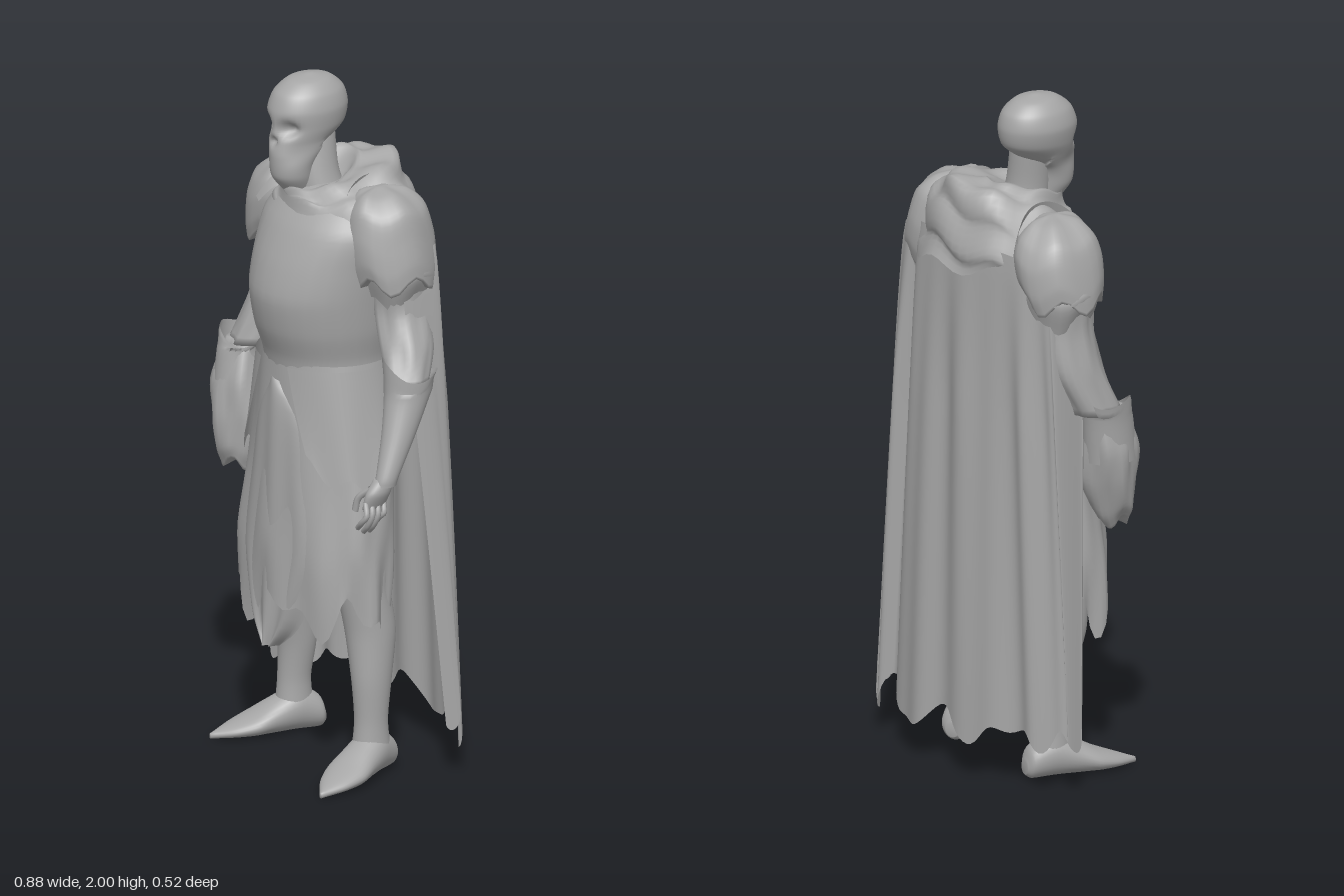
import * as THREE from 'three';

const clothGrey = new THREE.MeshStandardMaterial({ color: 0xa6a6a6, side: THREE.DoubleSide });
clothGrey.name = 'stone grey';
const { sin, cos, abs, PI } = Math;
const { lerp, smoothstep } = THREE.MathUtils;
const bump = (x, centre, width) => Math.exp(-(((x - centre) / width) ** 2));

function mesh(name, geometry, parent) {
  const m = new THREE.Mesh(geometry, clothGrey);
  m.name = name;
  parent.add(m);
  return m;
}

function buildGeometry(positions, indices) {
  const g = new THREE.BufferGeometry();
  g.setAttribute('position', new THREE.Float32BufferAttribute(positions, 3));
  g.setIndex(indices);
  g.computeVertexNormals();
  return g;
}

// Smooth skin over elliptical rings [x, y, z, rx, rz, tilt]; angle 0 faces the front.
function loft(rings, { open = false, segs = 28, steps = 5, warp } = {}) {
  if (rings[0][1] > rings.at(-1)[1]) rings = [...rings].reverse();
  const curve = pts => new THREE.CatmullRomCurve3(pts, false, 'catmullrom', 0.4);
  const centre = curve(rings.map(r => new THREE.Vector3(r[0], r[1], r[2])));
  const size = curve(rings.map(r => new THREE.Vector3(r[3], r[4], r[5] || 0)));
  const rows = (rings.length - 1) * steps, pos = [], idx = [];
  for (let i = 0; i <= rows; i++) {
    const t = i / rows, c = centre.getPoint(t), s = size.getPoint(t);
    for (let j = 0; j < segs; j++) {
      const a = j / segs * 2 * PI;
      const p = new THREE.Vector3(s.x * sin(a), -s.z * s.y * cos(a), s.y * cos(a));
      p.add(c);
      if (warp) warp(p, a, t, c);
      pos.push(p.x, p.y, p.z);
      if (i < rows) {
        const k = i * segs, n = (j + 1) % segs;
        idx.push(k + j, k + n, k + segs + n, k + j, k + segs + n, k + segs + j);
      }
    }
  }
  if (!open) {
    const b = pos.length / 3, top = rows * segs;
    pos.push(...centre.getPoint(0).toArray(), ...centre.getPoint(1).toArray());
    for (let j = 0; j < segs; j++) {
      const n = (j + 1) % segs;
      idx.push(b, n, j, b + 1, top + j, top + n);
    }
  }
  return buildGeometry(pos, idx);
}

// Cloth sheet from a rule f(u, v), u in -1..1 across, v in 0..1 downward.
function sheet(f, nu = 32, nv = 20) {
  const pos = [], idx = [];
  for (let i = 0; i <= nv; i++) for (let j = 0; j <= nu; j++) {
    pos.push(...f(j / nu * 2 - 1, i / nv));
    if (i < nv && j < nu) {
      const k = i * (nu + 1) + j, d = k + nu + 1;
      idx.push(k, d, d + 1, k, d + 1, k + 1);
    }
  }
  return buildGeometry(pos, idx);
}

function tube(points, r) {
  const c = new THREE.CatmullRomCurve3(points.map(p => new THREE.Vector3(...p)));
  return new THREE.TubeGeometry(c, 14, r, 7, false);
}

// Gentle creases for draped cloth
const folds = (n, amp) => (p, a, t, c) => {
  const k = 1 + amp * sin(a * n + t * 5) + amp * 0.5 * sin(a * (n + 4) - t * 7);
  p.x = c.x + (p.x - c.x) * k;
  p.z = c.z + (p.z - c.z) * k;
};

function buildHead(g) {
  // Eye sockets, nose cavity and hollow cheeks pressed into the skull
  const dents = [[-0.118, 1.862, 0.022, 0.035], [-0.038, 1.862, 0.022, 0.035],
    [-0.078, 1.822, 0.013, 0.02], [-0.145, 1.79, 0.03, 0.02], [0.0, 1.79, 0.03, 0.02]];
  mesh('skull', loft([[-0.065, 1.68, 0.06, 0.04, 0.05], [-0.066, 1.72, 0.078, 0.056, 0.062],
    [-0.068, 1.78, 0.075, 0.064, 0.07], [-0.076, 1.82, 0.045, 0.074, 0.095], [-0.081, 1.86, 0.02, 0.088, 0.118],
    [-0.084, 1.91, 0.012, 0.095, 0.122], [-0.085, 1.955, 0.008, 0.082, 0.106],
    [-0.086, 1.987, 0.005, 0.052, 0.066], [-0.086, 2, 0.003, 0.008, 0.01]], {
    segs: 48, steps: 7, warp: p => {
      if (p.z < 0.02) return;
      for (const [x, y, r, depth] of dents)
        p.z -= depth * Math.exp(-((p.x - x) ** 2 + (p.y - y) ** 2) / (r * r));
    } }), g);
  mesh('neck', loft([[-0.03, 1.6, -0.02, 0.08, 0.08], [-0.05, 1.72, 0.005, 0.062, 0.065], [-0.07, 1.85, 0, 0.055, 0.06]]), g);
}

function buildTorso(g) {
  mesh('breastplate', loft([[0, 1.15, 0, 0.19, 0.175], [0, 1.22, 0, 0.19, 0.187], [0, 1.3, 0, 0.205, 0.215],
    [0, 1.4, 0, 0.215, 0.23], [0, 1.5, -0.01, 0.225, 0.215], [0, 1.6, -0.03, 0.235, 0.187],
    [0, 1.67, -0.04, 0.18, 0.14], [0, 1.7, -0.04, 0.08, 0.08]], { warp: p => { p.z = Math.max(p.z, -0.2); } }), g);
  // Draped neck cloth falling low over the back
  mesh('cowl', loft([[-0.052, 1.68, 0.005, 0.068, 0.072, 0.3], [-0.035, 1.725, -0.005, 0.105, 0.118, 0.3],
    [-0.005, 1.715, -0.04, 0.16, 0.16, 0.3], [0, 1.66, -0.05, 0.215, 0.182, 0.2], [0, 1.595, -0.055, 0.25, 0.19, 0.08],
    [0, 1.54, -0.06, 0.26, 0.195, 0]], {
    open: true, segs: 56, warp: (p, a, t) => {
      const back = (1 - cos(a)) / 2;
      p.y += 0.008 * sin(t * 24 + a * 2) + 0.02 * (1 - t) * sin(a * 7) - 0.02 * (1 - t) * back;
      p.z -= 0.01 * sin(t * 20 + a * 3) * back;
    } }), g);
}

function buildArms(g) {
  // Layered shoulder armour, wider on the right
  for (const [s, dx, dy, name] of [[1, 0, 0.01, 'left'], [-1, 0.075, -0.015, 'right']]) {
    const arm = new THREE.Group();
    arm.name = name + 'ShoulderArmour';
    g.add(arm);
    const x = v => s * (v + dx);
    mesh('pauldron', loft([[x(0.165), 1.71 + dy, -0.06, 0.01, 0.02], [x(0.175), 1.695 + dy, -0.06, 0.055, 0.075],
      [x(0.185), 1.65 + dy, -0.065, 0.1, 0.115], [x(0.195), 1.58, -0.068, 0.112, 0.133],
      [x(0.21), 1.51, -0.07, 0.112, 0.13], [x(0.225), 1.46, -0.07, 0.1, 0.115]], {
      warp: (p, a, t) => { p.y += 0.025 * (1 - t) * sin(a * 5); } }), arm);
    mesh('lowerPlate', loft([[x(0.21), 1.54, -0.075, 0.085, 0.1], [x(0.222), 1.48, -0.078, 0.102, 0.108],
      [x(0.215), 1.4, -0.08, 0.08, 0.088]], { open: true, warp: (p, a, t) => { p.y += 0.02 * (1 - t) * sin(a * 4 + 1); } }), arm);
    // Upturned inner rim of the shoulder plate
    mesh('collarRim', sheet((u, v) => {
      const a = u * 1.25;
      return [x(0.2 - 0.09 * cos(a) - 0.012 * v), 1.56 + dy + (0.13 + 0.04 * (1 - v)) * cos(a), -0.06 + 0.14 * sin(a)];
    }, 20, 3), arm);
  }
  mesh('leftUpperArm', loft([[0.23, 1.5, -0.075, 0.075, 0.085], [0.235, 1.38, -0.08, 0.07, 0.078],
    [0.28, 1.28, -0.065, 0.074, 0.075], [0.335, 1.19, -0.03, 0.058, 0.065]], { warp: folds(5, 0.05) }), g);
  mesh('rightUpperArm', loft([[-0.305, 1.5, -0.07, 0.075, 0.085], [-0.31, 1.38, -0.07, 0.068, 0.08],
    [-0.325, 1.25, -0.05, 0.075, 0.085], [-0.35, 1.13, 0, 0.07, 0.08]], { warp: folds(5, 0.06) }), g);
  // Left gauntlet with a flared, pointed cuff
  mesh('leftGauntlet', loft([[0.355, 1.23, -0.025, 0.072, 0.082, -0.3], [0.365, 1.17, -0.01, 0.06, 0.07],
    [0.388, 1.07, 0.035, 0.045, 0.052], [0.41, 0.96, 0.09, 0.03, 0.035], [0.41, 0.93, 0.1, 0.028, 0.034]], { open: true,
    warp: (p, a, t) => { if (t > 0.8) p.y += 0.025 * cos(a * 2 + 1); } }), g);
  mesh('leftPalm', loft([[0.405, 0.95, 0.1, 0.024, 0.03], [0.405, 0.91, 0.12, 0.024, 0.04], [0.395, 0.865, 0.13, 0.015, 0.037]]), g);
  for (let i = 0; i < 4; i++) {
    const z = 0.1 + i * 0.02, drop = [0.02, 0, 0, 0.015][i];
    mesh('leftFinger', tube([[0.4, 0.885, z], [0.415, 0.85, z + 0.008], [0.4, 0.815 + drop, z + 0.012], [0.37, 0.79 + drop, z + 0.005]], 0.0085), g);
  }
  mesh('leftThumb', tube([[0.39, 0.92, 0.135], [0.36, 0.89, 0.155], [0.35, 0.85, 0.16]], 0.01), g);
  // Right forearm, wrapped in a heavy sleeve that hides the hand
  mesh('rightCuff', loft([[-0.367, 1.165, 0.015, 0.075, 0.08, 0.3], [-0.37, 1.1, 0.03, 0.066, 0.078], [-0.365, 0.98, 0.045, 0.07, 0.08]], { open: true,
    warp: (p, a, t) => { if (t > 0.7) p.y += 0.025 * sin(a * 2 + 3); } }), g);
  mesh('rightSleeve', loft([[-0.36, 1.14, 0.02, 0.05, 0.06], [-0.36, 1.02, 0.04, 0.08, 0.082], [-0.348, 0.92, 0.05, 0.083, 0.08],
    [-0.343, 0.83, 0.065, 0.07, 0.06], [-0.34, 0.785, 0.075, 0.048, 0.035]], { warp: (p, a, t, c) => {
    folds(4, 0.08)(p, a, t, c);
    p.y += 0.02 * (1 - t) * sin(a * 3);
  } }), g);
}

function buildSkirt(g) {
  const hem = a => 0.045 * sin(a * 6 + 0.5) + 0.035 * sin(a * 11 + 2);
  mesh('skirt', loft([[0, 1.21, 0, 0.195, 0.18], [0, 1.05, 0.01, 0.225, 0.178], [0, 0.85, 0.025, 0.255, 0.175],
    [0, 0.65, 0.045, 0.28, 0.17], [0, 0.48, 0.05, 0.285, 0.168]], { open: true, segs: 72,
    warp: (p, a, t, c) => {
      folds(9, 0.035 * (1 - t))(p, a, t, c);
      p.y += hem(a) * (1 - t) ** 3;
    } }), g);
  // Pointed front panel with long creases
  const width = new THREE.SplineCurve([[0.03, 0], [0.12, 0.12], [0.155, 0.35], [0.19, 0.6], [0.165, 0.74],
    [0.11, 0.9], [0.03, 1]].map(p => new THREE.Vector2(...p)));
  mesh('frontPanel', sheet((u, v) => {
    const w = width.getPoint(v), y = lerp(1.16, 0.36, w.y);
    return [u * w.x, y - 0.03 * abs(u) * (1 - v),
      lerp(0.197, 0.222, v) - 0.055 * u * u * (1 - 0.5 * v) + 0.009 * sin(u * 10 + v * 2) * v];
  }), g);
  // Hip plates hanging from the waist
  for (const s of [1, -1]) mesh(s > 0 ? 'leftHipPlate' : 'rightHipPlate', sheet((u, v) => {
    const a = s * (1.25 + u * (0.95 - 0.25 * v)), flare = 0.062 * v;
    return [(0.212 + flare) * sin(a), 1.2 - v * (0.33 - 0.07 * u * u + 0.02 * sin(u * 8)),
      0.012 + (0.185 + flare * 0.25) * cos(a)];
  }, 20, 12), g);
}

function buildLegs(g) {
  // Legs and pointed shoes turned outward
  for (const [s, ankle, z, turn, len, name] of [[1, 0.225, 0.015, 0.38, 0.94, 'left'], [-1, 0.2, -0.025, 0.27, 0.9, 'right']]) {
    mesh(name + 'Leg', loft([[s * 0.12, 0.95, 0, 0.1, 0.1], [s * 0.17, 0.65, 0.015, 0.09, 0.09], [s * 0.187, 0.54, 0.015, 0.075, 0.078],
      [s * 0.2, 0.42, 0, 0.068, 0.075], [s * (ankle - 0.005), 0.28, z - 0.005, 0.052, 0.06],
      [s * ankle, 0.16, z, 0.044, 0.05], [s * ankle, 0.06, z, 0.05, 0.06]]), g);
    const shoe = loft([[0, -0.1, -0.035, 0.02, 0.02], [0, -0.08, -0.05, 0.042, 0.047], [0, -0.01, -0.068, 0.053, 0.065],
      [0, 0.07, -0.052, 0.06, 0.05], [0, 0.14, -0.035, 0.065, 0.033], [0, 0.21, -0.022, 0.045, 0.02], [0, 0.28, -0.01, 0.005, 0.008]]);
    shoe.rotateX(PI / 2).scale(1, 1, len).rotateY(s * turn);
    mesh(name + 'Shoe', shoe, g).position.set(s * ankle, 0, z);
  }
}

function buildCape(g) {
  // Long cape following the back, side edges turned forward, pleated, with torn tails at the hem
  mesh('cape', sheet((u, v) => {
    const edge = smoothstep(abs(u), 0.72, 1);
    const w = lerp(u < 0 ? 0.33 : 0.28, 0.4, v ** 0.75);
    const x = w * sin(Math.min(abs(u) * 1.25, 1) * PI / 2) * Math.sign(u);
    const hem = 0.17 + 0.02 * sin(u * 17) + 0.02 * sin(u * 31 + 1)
      - 0.09 * bump(u, 0.62, 0.1) - 0.07 * bump(u, 0.2, 0.08) - 0.04 * bump(u, -0.15, 0.06);
    const pleat = (0.01 * sin(u * 19 + v) + 0.006 * sin(u * 33)) * Math.min(1, v * 3) + 0.018 * bump(u, 0.42, 0.04);
    return [x - 0.4 * pleat * Math.sign(u) * edge, lerp(1.6 - 0.08 * u * u, hem, v),
      lerp(-0.215, -0.252, v ** 0.6) + 0.6 * (x - 0.05 * v) ** 2 + lerp(0.13, 0.04, v) * edge + pleat];
  }, 110, 30), g);
}

export function createModel() {
  const model = new THREE.Group();
  model.name = 'cloakedSkeletonKnight';
  for (const [name, build] of Object.entries({ head: buildHead, torso: buildTorso, arms: buildArms,
    skirt: buildSkirt, legs: buildLegs, cape: buildCape })) {
    const part = new THREE.Group();
    part.name = name;
    build(part);
    model.add(part);
  }
  return model;
}
